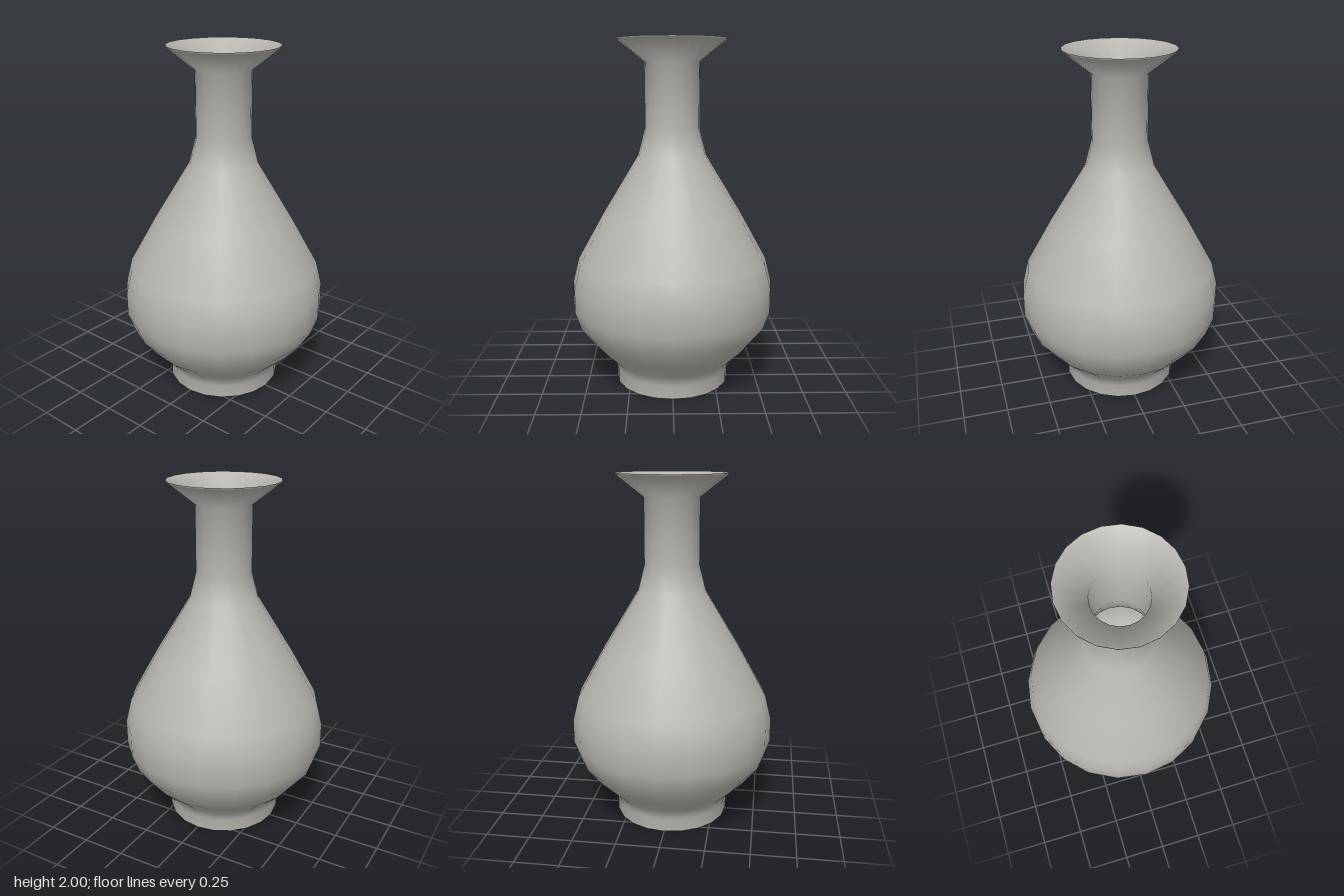
import * as THREE from 'three';

const SIDES = 20;

// Revolves a profile of [radius, height] pairs around the y axis
function turned(name, profile, material) {
  const points = profile.map(([r, y]) => new THREE.Vector2(r, y));
  const mesh = new THREE.Mesh(new THREE.LatheGeometry(points, SIDES), material);
  mesh.name = name;
  return mesh;
}

export function createModel() {
  const ceramic = new THREE.MeshStandardMaterial({ color: 0xb6b5af });
  ceramic.name = 'greyCeramic';

  // Foot, belly, neck and flared mouth, from the bottom up
  const outer = [
    [0.325, 0], [0.33, 0.01], [0.33, 0.08], [0.35, 0.14], [0.455, 0.24],
    [0.545, 0.35], [0.585, 0.46], [0.585, 0.6], [0.55, 0.74], [0.4, 1.01],
    [0.195, 1.35], [0.157, 1.5], [0.157, 1.87], [0.31, 1.99], [0.312, 2],
  ];

  // Hollow inside, from the lip down to the floor
  const inner = [
    [0.303, 1.994], [0.149, 1.87], [0.149, 1.5], [0.187, 1.35], [0.39, 1.01],
    [0.54, 0.74], [0.575, 0.6], [0.575, 0.46], [0.535, 0.35], [0.445, 0.24],
    [0.34, 0.14], [0.32, 0.08],
  ];

  const vase = new THREE.Group();
  vase.name = 'vase';
  vase.add(
    turned('outerWall', outer, ceramic),
    turned('lip', [[0.312, 2], [0.303, 1.994]], ceramic),
    turned('innerWall', inner, ceramic),
    turned('innerFloor', [[0.32, 0.08], [0, 0.08]], ceramic),
    turned('base', [[0, 0], [0.325, 0]], ceramic),
  );
  return vase;
}
